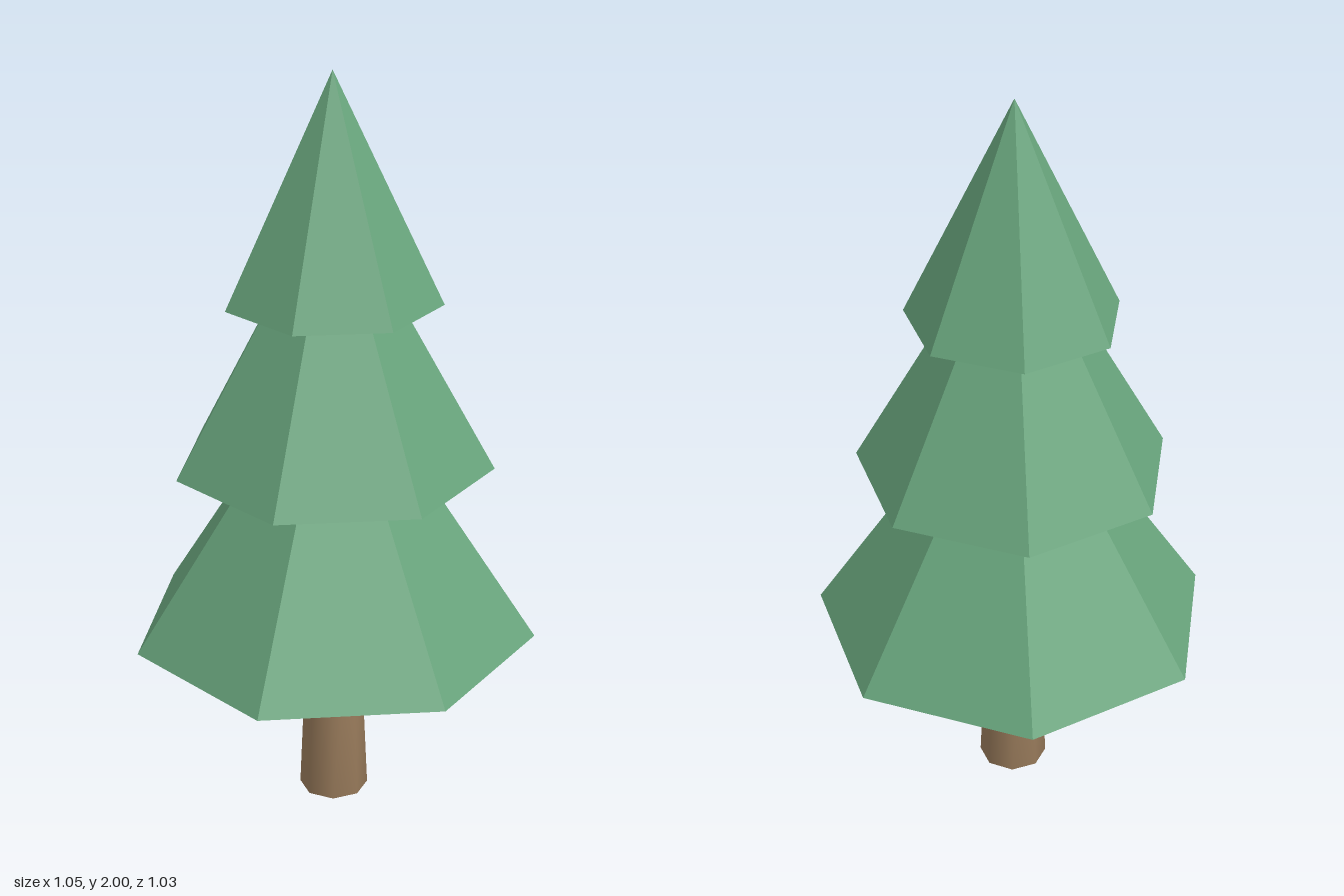
import * as THREE from 'three';
import { mergeVertices } from 'three/addons/utils/BufferGeometryUtils.js';

export function createModel() {
  const tree = new THREE.Group();
  tree.name = 'pineTree';
  const needles = new THREE.MeshStandardMaterial({ color: 0x68a47c, flatShading: true });
  needles.name = 'needle green';
  const bark = new THREE.MeshStandardMaterial({ color: 0x9a7c5c });
  bark.name = 'bark brown';
  const centreZ = 0.026;

  // Tapered trunk, its caps sharing smooth normals with the sides
  let trunkGeometry = new THREE.CylinderGeometry(0.07, 0.093, 0.52, 8);
  trunkGeometry.deleteAttribute('normal');
  trunkGeometry.deleteAttribute('uv');
  trunkGeometry = mergeVertices(trunkGeometry);
  trunkGeometry.computeVertexNormals();
  const trunk = new THREE.Mesh(trunkGeometry, bark);
  trunk.name = 'trunk';
  trunk.position.set(0, 0.26, centreZ);
  tree.add(trunk);

  // Three seven-sided foliage cones, a corner pointing to the back
  const tiers = [
    { name: 'lowerFoliage', radius: 0.54, base: 0.495, tip: 1.31 },
    { name: 'middleFoliage', radius: 0.42, base: 0.975, tip: 1.72 },
    { name: 'topFoliage', radius: 0.282, base: 1.415, tip: 2 },
  ];
  for (const { name, radius, base, tip } of tiers) {
    const cone = new THREE.Mesh(new THREE.ConeGeometry(radius, tip - base, 7), needles);
    cone.name = name;
    cone.position.set(0, (base + tip) / 2, centreZ);
    cone.rotation.y = Math.PI;
    tree.add(cone);
  }
  return tree;
}
